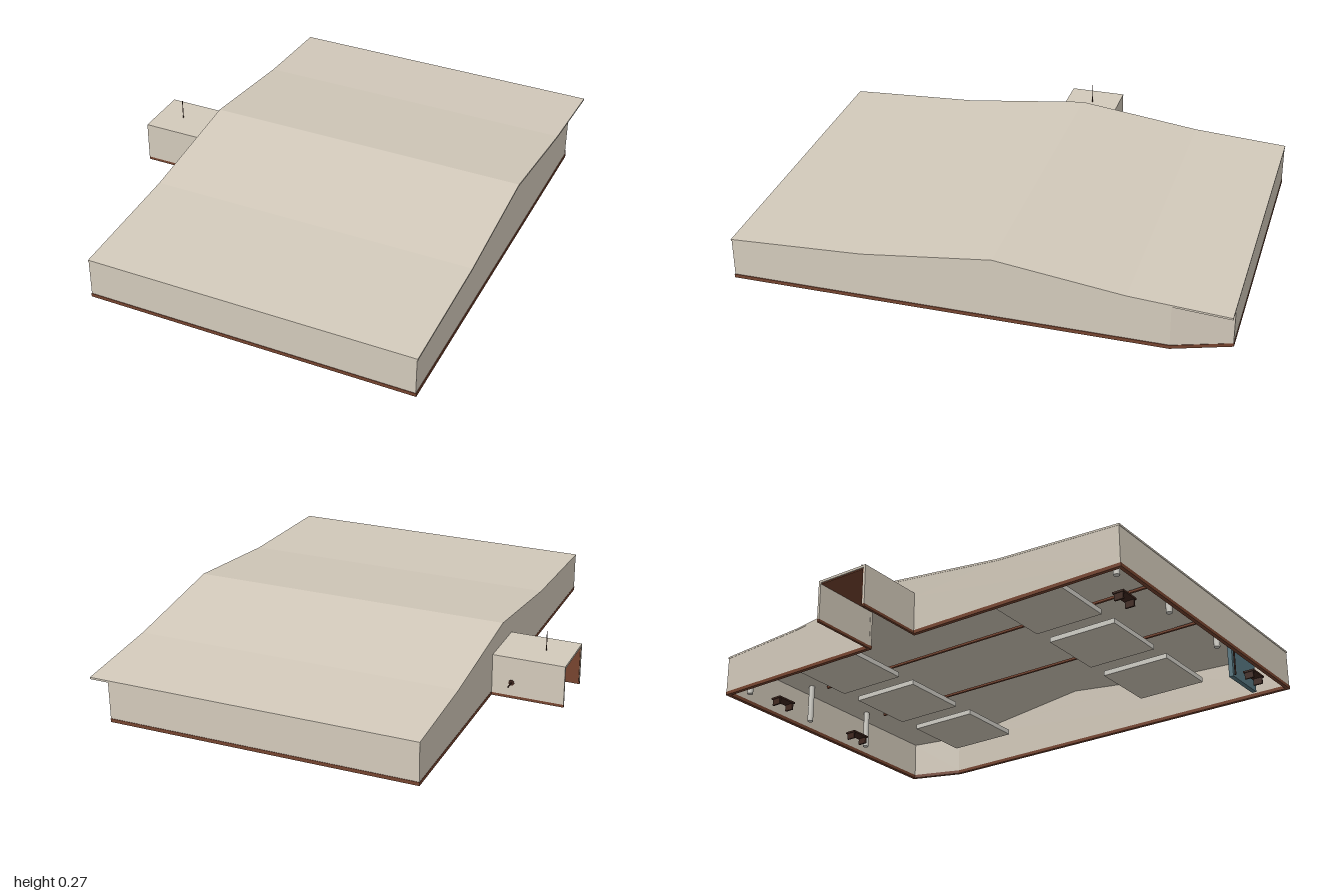
import * as THREE from 'three';

const mat = (name, color) => {
  const m = new THREE.MeshStandardMaterial({ color });
  m.name = name;
  return m;
};

export function createModel() {
  const model = new THREE.Group();
  model.name = 'hall';
  const beige = mat('beige cladding', 0xd3cabb);
  const brown = mat('rust brown', 0x76442f);
  const dark = mat('dark brown', 0x40281f);
  const grey = mat('light grey', 0xd0cec6);
  const teal = mat('teal', 0x56757f);

  const add = (name, geo, material, x = 0, y = 0, z = 0, parent = model) => {
    const m = new THREE.Mesh(geo, material);
    m.name = name;
    m.position.set(x, y, z);
    parent.add(m);
    return m;
  };
  // box given by its min and max corners
  const box = (name, material, x0, x1, y0, y1, z0, z1, parent) =>
    add(name, new THREE.BoxGeometry(x1 - x0, y1 - y0, z1 - z0), material,
      (x0 + x1) / 2, (y0 + y1) / 2, (z0 + z1) / 2, parent);

  // upright panel from plan point a to b; pts are [distance along, height], thickness goes inward
  const panel = (name, material, a, b, pts, t) => {
    const shape = new THREE.Shape(pts.map(([s, y]) => new THREE.Vector2(s, y)));
    const geo = new THREE.ExtrudeGeometry(shape, { depth: t, bevelEnabled: false });
    geo.translate(0, 0, -t);
    const m = add(name, geo, material, a[0], 0, a[1]);
    m.rotation.y = Math.atan2(a[1] - b[1], b[0] - a[0]);
  };

  // roof profile as [z, height], front to back
  const profile = [[1, 0.178], [0.45, 0.205], [-0.08, 0.27], [-0.6, 0.205], [-1, 0.18]];
  const L = -0.542, R = 0.84, SLAB = 0.008, TRIM = 0.015;

  // roof: thin folded slab running across the hall
  const roofPts = [
    ...profile.map(([z, h]) => new THREE.Vector2(-z, h)),
    ...profile.slice().reverse().map(([z, h]) => new THREE.Vector2(-z, h - SLAB)),
  ];
  const roofGeo = new THREE.ExtrudeGeometry(new THREE.Shape(roofPts),
    { depth: R - L, bevelEnabled: false });
  roofGeo.rotateY(Math.PI / 2);
  add('roof', roofGeo, beige, L, 0, 0);

  // plan corners, with the back left corner cut
  const l = L + 0.001, r = R - 0.003, e = 0.998;
  const doorBack = -0.19, doorFront = 0.03;
  const cutLength = Math.hypot(r - 0.76, e - 0.77);
  const under = SLAB / 2;
  const folds = profile.slice(1, 4); // front to back
  const eave = 0.175;
  const slab = (len) => [[0, TRIM], [len, TRIM], [len, eave], [0, eave]];

  panel('frontWall', beige, [l, e], [r, e], slab(r - l), 0.013);
  panel('backWall', beige, [0.76, -e], [l, -e], slab(0.76 - l), 0.013);
  panel('cutCornerWall', beige, [r, -0.77], [0.76, -e],
    [[0, TRIM], [cutLength, TRIM], [cutLength, eave], [0, 0.191]], 0.013);
  panel('leftWall', beige, [r, e], [r, -0.77], [
    [0, TRIM], [e + 0.77, TRIM], [e + 0.77, 0.191],
    ...folds.slice().reverse().map(([z, h]) => [e - z, h - under]), [0, eave],
  ], 0.013);
  panel('rightWall', beige, [l, -e], [l, e], [
    [0, TRIM], [e + doorBack, TRIM], [e + doorBack, 0.165],
    [e + doorFront, 0.165], [e + doorFront, TRIM], [2 * e, TRIM], [2 * e, eave],
    ...folds.map(([z, h]) => [e + z, h - under]), [0, eave],
  ], 0.013);

  // base trim, interrupted at the doorway to the annex
  const trimRuns = [
    [[L, 1], [R, 1]], [[R, 1], [R, -0.77]], [[R, -0.77], [0.76, -1]],
    [[0.76, -1], [L, -1]], [[L, -1], [L, doorBack]], [[L, doorFront], [L, 1]],
  ];
  for (const [a, b] of trimRuns) {
    const len = Math.hypot(b[0] - a[0], b[1] - a[1]);
    panel('baseTrim', brown, a, b, [[0, 0], [len, 0], [len, TRIM], [0, TRIM]], 0.016);
  }

  // side annex, open at its outer end
  const annex = new THREE.Group();
  annex.name = 'annex';
  model.add(annex);
  const A = -0.845, zb = -0.2, zf = 0.04;
  box('annexRoof', beige, A, L, 0.17, 0.18, zb, zf, annex);
  box('annexCeiling', brown, A + 0.004, L, 0.165, 0.17, zb + 0.01, zf - 0.01, annex);
  for (const [name, z0, z1] of [['annexBackWall', zb, zb + 0.01], ['annexFrontWall', zf - 0.01, zf]]) {
    box(name, beige, A, L, 0.012, 0.17, z0, z1, annex);
    box('annexTrim', brown, A, L, 0, 0.012, z0, z1, annex);
  }
  box('annexFrontLining', brown, A + 0.002, -0.62, 0.012, 0.165, zf - 0.015, zf - 0.01, annex);

  // roof mast and the small spout on the annex back wall
  add('mast', new THREE.CylinderGeometry(0.0018, 0.0018, 0.085, 8), dark, -0.73, 0.2225, -0.08, annex);
  const spout = add('spout', new THREE.CylinderGeometry(0.003, 0.003, 0.045, 8), dark,
    -0.625, 0.07, zb - 0.0225, annex);
  spout.rotation.x = Math.PI / 2;
  const flange = add('spoutFlange', new THREE.CylinderGeometry(0.012, 0.012, 0.003, 12), dark,
    -0.625, 0.07, zb - 0.0015, annex);
  flange.rotation.x = Math.PI / 2;

  // interior columns along the front and back walls
  for (const x of [0.29, -0.095, -0.48]) {
    for (const z of [0.944, -0.915]) {
      add('column', new THREE.CylinderGeometry(0.013, 0.013, 0.17, 12), grey, x, 0.09, z);
    }
  }

  // six square platforms in two rows, light rims and beige undersides
  const platformMats = [grey, grey, grey, beige, grey, grey];
  for (const x of [0.52, 0.105, -0.3]) {
    for (const z of [0.515, -0.515]) {
      add('platform', new THREE.BoxGeometry(0.31, 0.022, 0.31), platformMats, x, 0.071, z);
      for (const s of [-1, 1]) {
        add('platformFitting', new THREE.BoxGeometry(0.02, 0.012, 0.02), dark,
          x + s * 0.09, 0.088, z - 0.15);
      }
    }
  }

  // ceiling rails between the platform columns
  for (const x of [0.34, -0.06]) box('rail', brown, x - 0.005, x + 0.005, 0.162, 0.172, -0.85, 0.85);

  // benches near the walls
  for (const [x, z] of [[0.68, 0.91], [-0.27, 0.85], [0.21, -0.9], [-0.29, -0.9]]) {
    box('benchSeat', dark, x - 0.048, x + 0.048, 0.03, 0.038, z - 0.025, z + 0.025);
    for (const s of [-1, 1]) {
      box('benchLeg', dark, x + s * 0.04 - 0.004, x + s * 0.04 + 0.004, 0.002, 0.03, z - 0.02, z + 0.02);
    }
  }

  // teal cabinet near the front corner
  box('cabinet', teal, 0.58, 0.79, 0.004, 0.15, 0.845, 0.865);
  add('cabinetPost', new THREE.CylinderGeometry(0.004, 0.004, 0.12, 8), dark, 0.57, 0.062, 0.88);

  return model;
}
